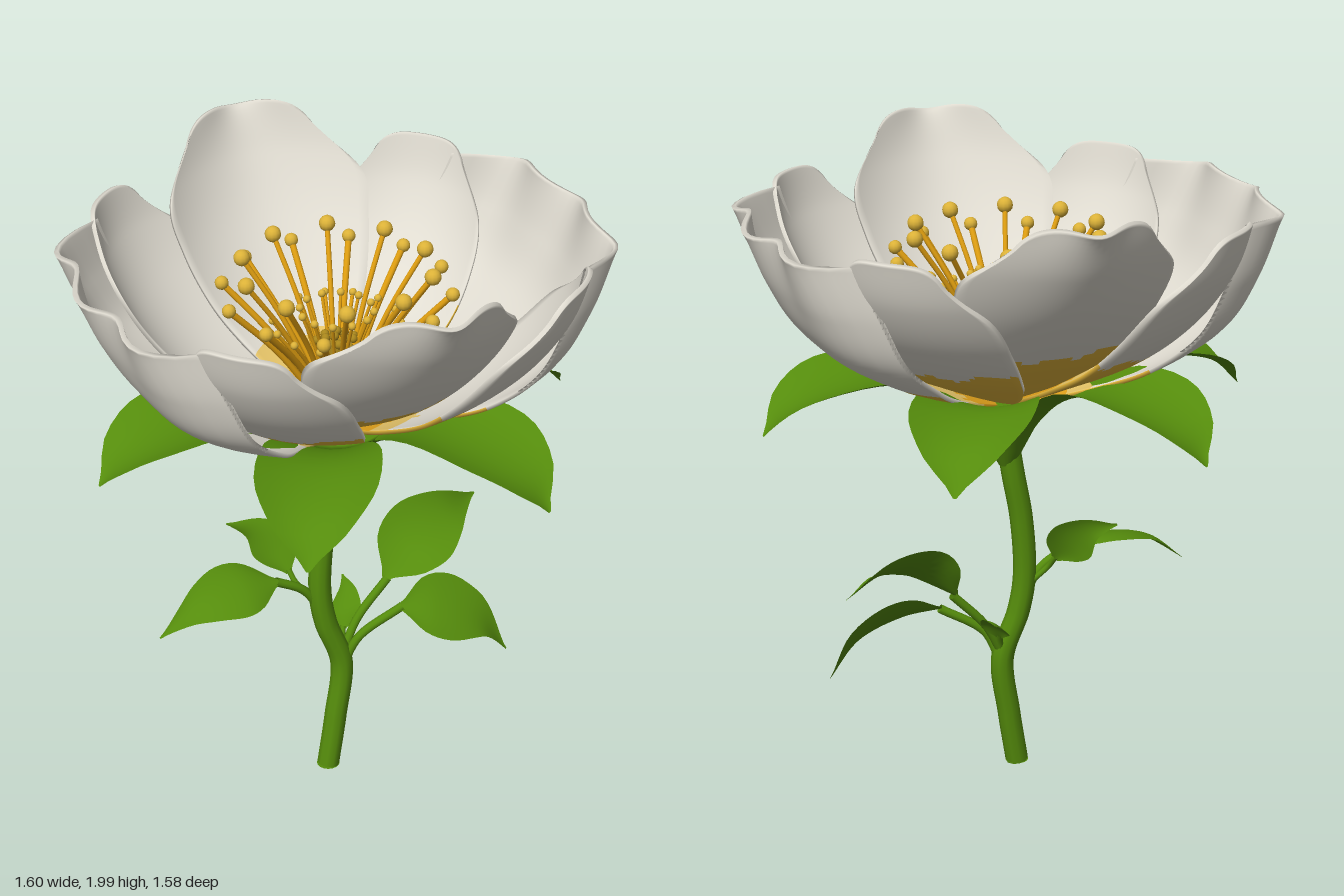
import * as THREE from 'three';

const mat = (name, color, side = THREE.FrontSide) => {
  const m = new THREE.MeshStandardMaterial({ color, side });
  m.name = name;
  return m;
};
const V = (p) => new THREE.Vector3(...p);
const spline = (pts) => new THREE.SplineCurve(pts.map((p) => new THREE.Vector2(...p)));
const listCurve = (list) => spline(list.map((w, i) => [i / (list.length - 1), w]));

function makeGeometry(pos, index) {
  const g = new THREE.BufferGeometry();
  g.setAttribute('position', new THREE.Float32BufferAttribute(pos, 3));
  g.setIndex(index);
  return g;
}

// Thick cupped petal pointing along +z; groups: white, outer yellow, inner pale yellow, orange
function petalGeometry({ profile, widths, cup, hook, ripple, round, stain }) {
  const rows = 48, n = 28, loop = 2 * n + 2, thick = 0.014;
  const path = spline(profile), width = listCurve(widths);
  const pos = [], faces = [[], [], [], []];
  for (let r = 0; r <= rows; r++) {
    for (let k = 0; k < loop; k++) {
      const outer = k > n;
      const s = ((outer ? loop - 1 - k : k) / n) * 2 - 1;
      const u = (r / rows) * (1 - round * s ** 4);
      const p = path.getPoint(u), t = path.getTangent(u);
      const w = Math.max(0.01, width.getPoint(r / rows).y);
      const [out, lift] = ripple(s).map((v) => v * u ** 6);
      const bend = cup * w * w * ((1 - hook) * s * s + hook * s ** 6);
      const d = outer ? thick : 0;
      pos.push(s * w, p.y + lift - t.x * d, p.x - bend + out + t.y * d);
    }
  }
  for (let r = 0; r < rows; r++) {
    for (let k = 0; k < loop; k++) {
      const a = r * loop + k, b = r * loop + ((k + 1) % loop), c = a + loop, d = b + loop;
      const radius = Math.hypot(pos[a * 3], pos[a * 3 + 2]) + 0.012 * Math.sin(k * 0.7);
      const tone = k > n ? (radius < stain ? 1 : 0) : radius < 0.18 ? 3 : radius < 0.27 ? 2 : 0;
      faces[tone].push(a, c, b, b, c, d);
    }
  }
  // rim along the tip
  for (let i = 0; i < n; i++) {
    const p = rows * loop + i, q = rows * loop + loop - 1 - i;
    faces[0].push(p, q, p + 1, p + 1, q, q - 1);
  }
  const g = makeGeometry(pos, faces.flat());
  let start = 0;
  faces.forEach((f, i) => {
    g.addGroup(start, f.length, i);
    start += f.length;
  });
  g.computeVertexNormals();
  return g;
}

// Leaf blade along a curve, spread along a side vector and slightly folded
function bladeGeometry(points, sideVec, widths, fold) {
  const rows = 20, n = 8, pos = [], index = [];
  const curve = new THREE.CatmullRomCurve3(points.map(V)), width = listCurve(widths);
  for (let r = 0; r <= rows; r++) {
    const u = r / rows, c = curve.getPoint(u), t = curve.getTangent(u);
    const side = V(sideVec).addScaledVector(t, -V(sideVec).dot(t)).normalize();
    const up = new THREE.Vector3().crossVectors(t, side);
    const w = Math.max(0.003, width.getPoint(u).y);
    for (let k = 0; k <= n; k++) {
      const s = (k / n) * 2 - 1;
      const p = c.clone().addScaledVector(side, s * w).addScaledVector(up, fold * w * s * s);
      pos.push(p.x, p.y, p.z);
      if (r < rows && k < n) {
        const a = r * (n + 1) + k, b = a + n + 1;
        index.push(a, b, a + 1, a + 1, b, b + 1);
      }
    }
  }
  const g = makeGeometry(pos, index);
  g.computeVertexNormals();
  return g;
}

export function createModel() {
  const model = new THREE.Group();
  model.name = 'flower';
  const green = mat('leafGreen', 0x558c0c, THREE.DoubleSide);
  const white = mat('petalWhite', 0xe0dcd1);
  const yellow = mat('petalYellow', 0xf0c040);
  const pale = mat('petalPaleYellow', 0xe6c468);
  const orange = mat('petalOrange', 0xe4a41c);
  const filament = mat('filamentOrange', 0xdc9c10);
  const anther = mat('antherGold', 0xdcb238);
  const pistil = mat('pistilGold', 0xa8861c);
  const add = (name, geometry, material, parent = model) => {
    const m = new THREE.Mesh(geometry, material);
    m.name = name;
    parent.add(m);
    return m;
  };
  const tube = (name, points, radius, material, parent) =>
    add(name, new THREE.TubeGeometry(new THREE.CatmullRomCurve3(points.map(V)), 12 * (points.length - 1), radius, 10), material, parent);

  // Stem and the flared cup beneath the flower
  tube('stem', [[-0.05, 0.005, 0.045], [-0.02, 0.18, 0.035], [0.005, 0.38, 0.025], [-0.045, 0.54, 0.015],
    [-0.062, 0.66, 0.01], [-0.05, 0.85, 0.005], [-0.022, 1.0, 0], [0, 1.13, 0]], 0.036, green);
  const foot = add('stemEnd', new THREE.CircleGeometry(0.037, 16), green);
  foot.rotation.x = Math.PI / 2;
  foot.position.set(-0.05, 0.004, 0.045);
  const cupPoints = [[0.025, 1.04], [0.055, 1.1], [0.085, 1.16], [0.13, 1.23], [0.16, 1.27], [0.001, 1.25]];
  add('receptacle', new THREE.LatheGeometry(cupPoints.map((p) => new THREE.Vector2(...p)), 24), green);

  // Six drooping sepals
  const sepal = bladeGeometry([[0, 1.05, 0.025], [0, 1.17, 0.09], [0, 1.28, 0.2], [0, 1.355, 0.38],
    [0, 1.345, 0.56], [0, 1.3, 0.68], [0, 1.22, 0.76]], [1, 0, 0],
  [0.02, 0.055, 0.105, 0.17, 0.175, 0.11, 0.005], 0.25);
  for (let i = 0; i < 6; i++) add('sepal', sepal, green).rotation.y = Math.PI / 2 + (i * Math.PI) / 3;

  // Petals: notched inner front/back pair, four diagonal, wavy outer left/right pair hugging them
  const inner = petalGeometry({
    profile: [[0.03, 1.27], [0.2, 1.37], [0.4, 1.5], [0.57, 1.67], [0.68, 1.84], [0.735, 1.995]],
    widths: [0.04, 0.11, 0.19, 0.26, 0.305, 0.315, 0.2], cup: 1.4, hook: 0, round: 0.09, stain: 0.43,
    ripple: (s) => [0.04 * Math.exp(-((s * 2.4) ** 2)), -0.02 * Math.exp(-((s * 3) ** 2))] });
  const middle = petalGeometry({
    profile: [[0.03, 1.26], [0.25, 1.36], [0.45, 1.46], [0.6, 1.59], [0.7, 1.74], [0.745, 1.88]],
    widths: [0.04, 0.15, 0.22, 0.25, 0.24, 0.14], cup: 1.6, hook: 0, round: 0.08, stain: 0.48,
    ripple: () => [0, 0] });
  const outer = petalGeometry({
    profile: [[0.03, 1.25], [0.25, 1.34], [0.45, 1.43], [0.62, 1.54], [0.71, 1.69], [0.765, 1.86]],
    widths: [0.05, 0.22, 0.36, 0.43, 0.45, 0.43], cup: 0.95, hook: 0.75, round: 0.02, stain: 0.49,
    ripple: (s) => [0.024 * Math.cos(s * 8.2), 0.012 * Math.cos(s * 8.2 + 2.5)] });
  const petalMats = [white, yellow, pale, orange];
  for (let i = 0; i < 8; i++) {
    const [name, g] = i % 2 ? ['diagonalPetal', middle] : i % 4 ? ['sidePetal', outer] : ['innerPetal', inner];
    add(name, g, petalMats).rotation.y = (i * Math.PI) / 4;
  }

  // Rings of stamens: count, radius, height, filament and anther sizes
  const rings = [[12, 0.34, 1.71, 0.01, 0.021], [10, 0.285, 1.78, 0.008, 0.025],
    [14, 0.19, 1.6, 0.006, 0.012], [12, 0.11, 1.64, 0.005, 0.012]];
  const stamens = new THREE.Group();
  stamens.name = 'stamens';
  model.add(stamens);
  for (const [count, r, y, thin, ball] of rings) {
    for (let i = 0; i < count; i++) {
      const a = (i / count) * Math.PI * 2, x = Math.cos(a), z = Math.sin(a);
      tube('filament', [[x * 0.02, 1.28, z * 0.02], [x * r * 0.55, 1.28 + (y - 1.28) * 0.6, z * r * 0.55], [x * r, y, z * r]],
        thin, filament, stamens);
      add('anther', new THREE.SphereGeometry(ball, 12, 8), anther, stamens).position.set(x * r, y, z * r);
    }
  }

  // Pistil cluster in the middle
  add('pistilBase', new THREE.CylinderGeometry(0.025, 0.05, 0.26, 12), pistil).position.y = 1.4;
  for (let i = 0; i < 14; i++) {
    const a = i * 2.4, r = 0.017 * Math.sqrt(i);
    add('pistilTip', new THREE.SphereGeometry(0.014, 10, 8), pistil)
      .position.set(r * Math.cos(a), 1.57 - r * 0.6, r * Math.sin(a));
  }
  // Yellow floor where the petals meet
  const floor = add('flowerFloor', new THREE.CircleGeometry(0.1, 24), orange);
  floor.rotation.x = -Math.PI / 2;
  floor.position.y = 1.315;

  // Leaves: stalk points, blade points, side direction, half width
  const leaves = [
    ['leftLeaf', [[-0.065, 0.6, 0.01], [-0.12, 0.68, 0.01], [-0.21, 0.735, 0.01]],
      [[-0.2, 0.735, 0.01], [-0.33, 0.765, 0.02], [-0.48, 0.735, 0.03], [-0.6, 0.64, 0.02]], [0.05, 0.3, -1], 0.11],
    ['smallLeftLeaf', [[-0.085, 0.64, 0], [-0.13, 0.69, -0.02], [-0.145, 0.73, -0.045]],
      [[-0.145, 0.72, -0.04], [-0.175, 0.79, -0.09], [-0.22, 0.84, -0.13], [-0.3, 0.865, -0.17]], [0.7, 0.5, 0.3], 0.075],
    ['rightUpperLeaf', [[0.01, 0.4, 0.02], [0.07, 0.51, 0], [0.18, 0.63, -0.01]],
      [[0.17, 0.63, -0.01], [0.28, 0.73, -0.03], [0.42, 0.77, -0.09], [0.57, 0.745, -0.19]], [-0.2, 0.6, -0.75], 0.12],
    ['rightLowerLeaf', [[0.01, 0.36, 0.025], [0.06, 0.47, 0.04], [0.2, 0.56, 0.06]],
      [[0.19, 0.56, 0.06], [0.31, 0.54, 0.09], [0.45, 0.47, 0.11], [0.54, 0.34, 0.13]], [0.25, 0.5, -0.7], 0.115],
    ['smallRightLeaf', [[0.01, 0.38, 0.02], [0.02, 0.44, 0], [0.03, 0.48, -0.02]],
      [[0.03, 0.47, -0.02], [0.05, 0.52, -0.05], [0.075, 0.56, -0.1], [0.09, 0.575, -0.16]], [0.7, 0.4, 0.3], 0.05],
  ];
  for (const [name, stalk, blade, side, w] of leaves) {
    const leaf = new THREE.Group();
    leaf.name = name;
    model.add(leaf);
    tube('stalk', stalk, w > 0.1 ? 0.014 : 0.009, green, leaf);
    add('blade', bladeGeometry(blade, side, [0.01, w * 0.8, w, w * 0.75, w * 0.35, 0.003], 0.2), green, leaf);
  }
  return model;
}
